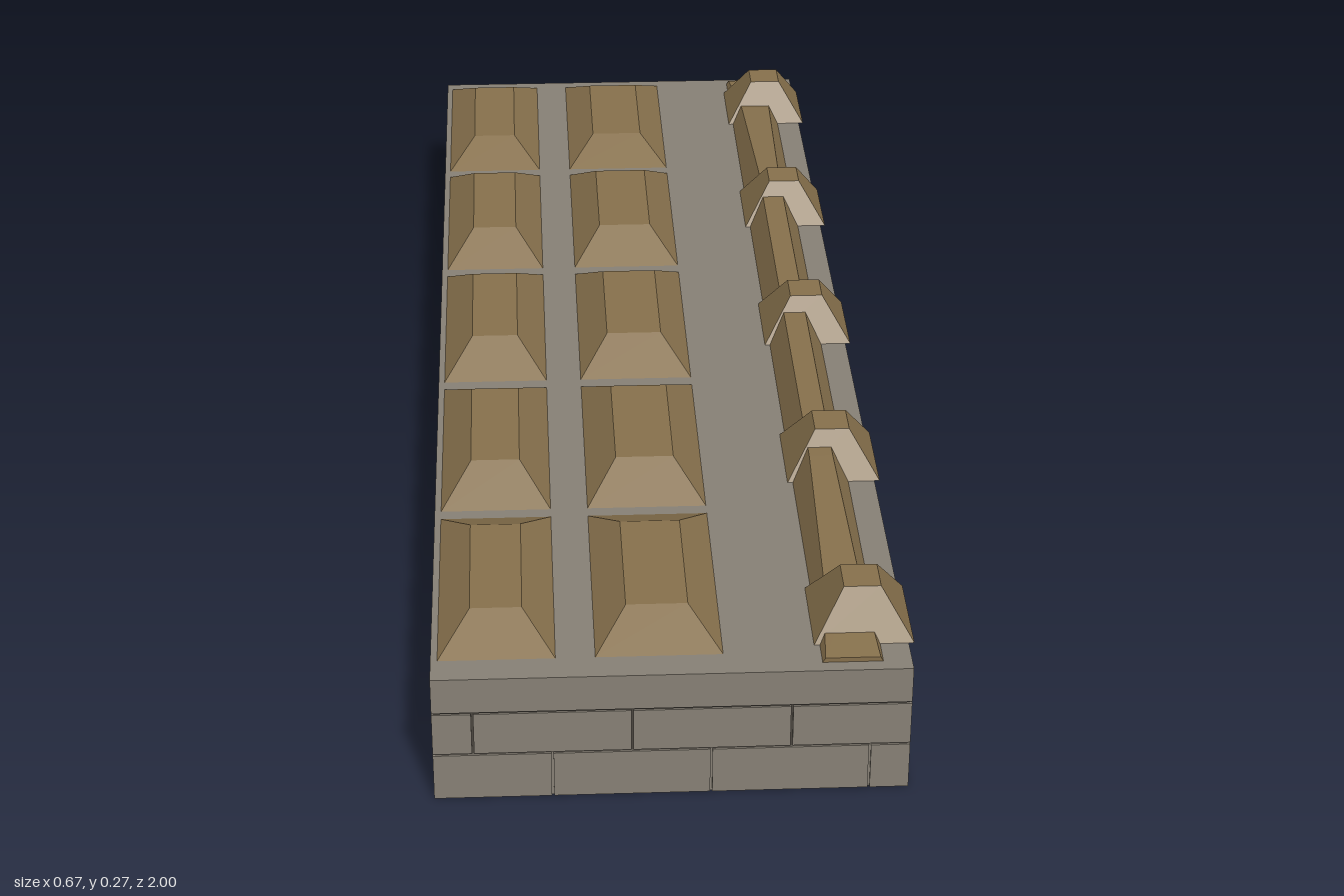
import * as THREE from 'three';

const stone = new THREE.MeshStandardMaterial({ color: 0x878075, flatShading: true });
const joint = new THREE.MeshStandardMaterial({ color: 0x4a453e, flatShading: true });
const wood = new THREE.MeshStandardMaterial({ color: 0x86704c, flatShading: true });

// Base block extents
const X0 = -0.337, X1 = 0.327, TOP = 0.2, Z = 1;
const CX = (X0 + X1) / 2, W = X1 - X0;
const COURSE = 0.074, MID_TOP = 0.143, GAP = 0.003, SKIN = 0.003, BRICK = 0.221;

function add(parent, name, geometry, material) {
  const mesh = new THREE.Mesh(geometry, material);
  mesh.name = name;
  parent.add(mesh);
  return mesh;
}

// Axis-aligned box given by its two corners
function block(parent, name, material, x0, x1, y0, y1, z0, z1) {
  const mesh = add(parent, name, new THREE.BoxGeometry(x1 - x0, y1 - y0, z1 - z0), material);
  mesh.position.set((x0 + x1) / 2, (y0 + y1) / 2, (z0 + z1) / 2);
  return mesh;
}

// Box whose top is pulled in on every side
function frustum(w, h, d, insetX, insetZ) {
  const g = new THREE.BoxGeometry(w, h, d).translate(0, h / 2, 0);
  const p = g.attributes.position;
  for (let i = 0; i < p.count; i++) {
    if (p.getY(i) < h / 2) continue;
    p.setX(i, p.getX(i) - Math.sign(p.getX(i)) * insetX);
    p.setZ(i, p.getZ(i) - Math.sign(p.getZ(i)) * insetZ);
  }
  g.computeVertexNormals();
  return g;
}

// Brick spans between a and b, with joints at seam + k * BRICK
function spans(a, b, seam) {
  const cuts = [a];
  let s = seam;
  while (s - BRICK > a) s -= BRICK;
  for (; s < b; s += BRICK) if (s > a + 0.01) cuts.push(s);
  cuts.push(b);
  return cuts.slice(1).map((end, i) => [
    cuts[i] + (i ? GAP / 2 : 0), end - (i < cuts.length - 2 ? GAP / 2 : 0)]);
}

// One course of thin bricks around all four sides
function brickCourse(parent, y0, y1, seamX, seamZ) {
  for (const [a, b] of spans(X0, X1, seamX)) {
    block(parent, 'brick', stone, a, b, y0, y1, Z - SKIN, Z);
    block(parent, 'brick', stone, a, b, y0, y1, -Z, -Z + SKIN);
  }
  for (const [a, b] of spans(-Z, Z, seamZ)) {
    block(parent, 'brick', stone, X0, X0 + SKIN, y0, y1, a, b);
    block(parent, 'brick', stone, X1 - SKIN, X1, y0, y1, a, b);
  }
}

// Low ridge that flattens toward both ends; each station is [z, height]
function railGeometry() {
  const stations = [[-0.98, 0.007], [-0.8, 0.03], [-0.5, 0.044],
    [0.5, 0.044], [0.8, 0.03], [0.98, 0.007]];
  const n = stations.length - 1;
  const g = new THREE.BoxGeometry(2, 1, n, 1, 1, n);
  const p = g.attributes.position;
  for (let i = 0; i < p.count; i++) {
    const [z, h] = stations[Math.round(p.getZ(i) + n / 2)];
    const top = p.getY(i) > 0;
    p.setXYZ(i, p.getX(i) * (top ? 0.042 - 0.55 * h : 0.042), top ? h : 0, z);
  }
  g.computeVertexNormals();
  return g;
}

export function createModel() {
  const model = new THREE.Group();
  model.name = 'raisedPavement';

  // Stone base: solid above, hollow at the lowest course
  const base = new THREE.Group();
  base.name = 'stoneBase';
  model.add(base);
  block(base, 'topSlab', stone, X0, X1, MID_TOP + GAP / 2, TOP, -Z, Z);
  block(base, 'core', joint, X0 + SKIN, X1 - SKIN, COURSE, MID_TOP + GAP, -Z + SKIN, Z - SKIN);
  brickCourse(base, COURSE + GAP / 2, MID_TOP - GAP / 2, -0.281, 0.95);
  brickCourse(base, 0, COURSE - GAP / 2, -0.171, 0.84);

  // Thin skirt behind the lowest bricks
  for (const s of [-1, 1]) {
    const end = add(base, 'skirtEnd', new THREE.BoxGeometry(W - 2 * SKIN, COURSE, 0.003), stone);
    end.position.set(CX, COURSE / 2, s * (Z - SKIN - 0.0015));
    const side = add(base, 'skirtSide', new THREE.BoxGeometry(0.003, COURSE, 2 * (Z - SKIN)), stone);
    side.position.set(CX + s * (W / 2 - SKIN - 0.0015), COURSE / 2, 0);
  }

  // Two columns of bevelled panels, the end rows slightly lower
  const columns = [[-0.246, 0.163], [-0.021, 0.177]];
  const rows = [-0.794, -0.402, -0.01, 0.381, 0.77];
  const panels = new THREE.Group();
  panels.name = 'panels';
  model.add(panels);
  for (const [x, w] of columns) {
    rows.forEach((z, i) => {
      const outer = i === 0 || i === rows.length - 1;
      const g = frustum(w, outer ? 0.036 : 0.043, 0.368, 0.045, 0.075);
      add(panels, 'panel', g, wood).position.set(x, TOP, z);
    });
  }

  // Rail with five tapered posts along the left edge
  const railing = new THREE.Group();
  railing.name = 'railing';
  model.add(railing);
  add(railing, 'rail', railGeometry(), wood).position.set(0.245, TOP, 0);
  const post = frustum(0.14, 0.067, 0.144, 0.044, 0.044);
  for (let i = -2; i <= 2; i++) {
    add(railing, 'post', post, wood).position.set(0.265, TOP, i * 0.433);
  }
  return model;
}
